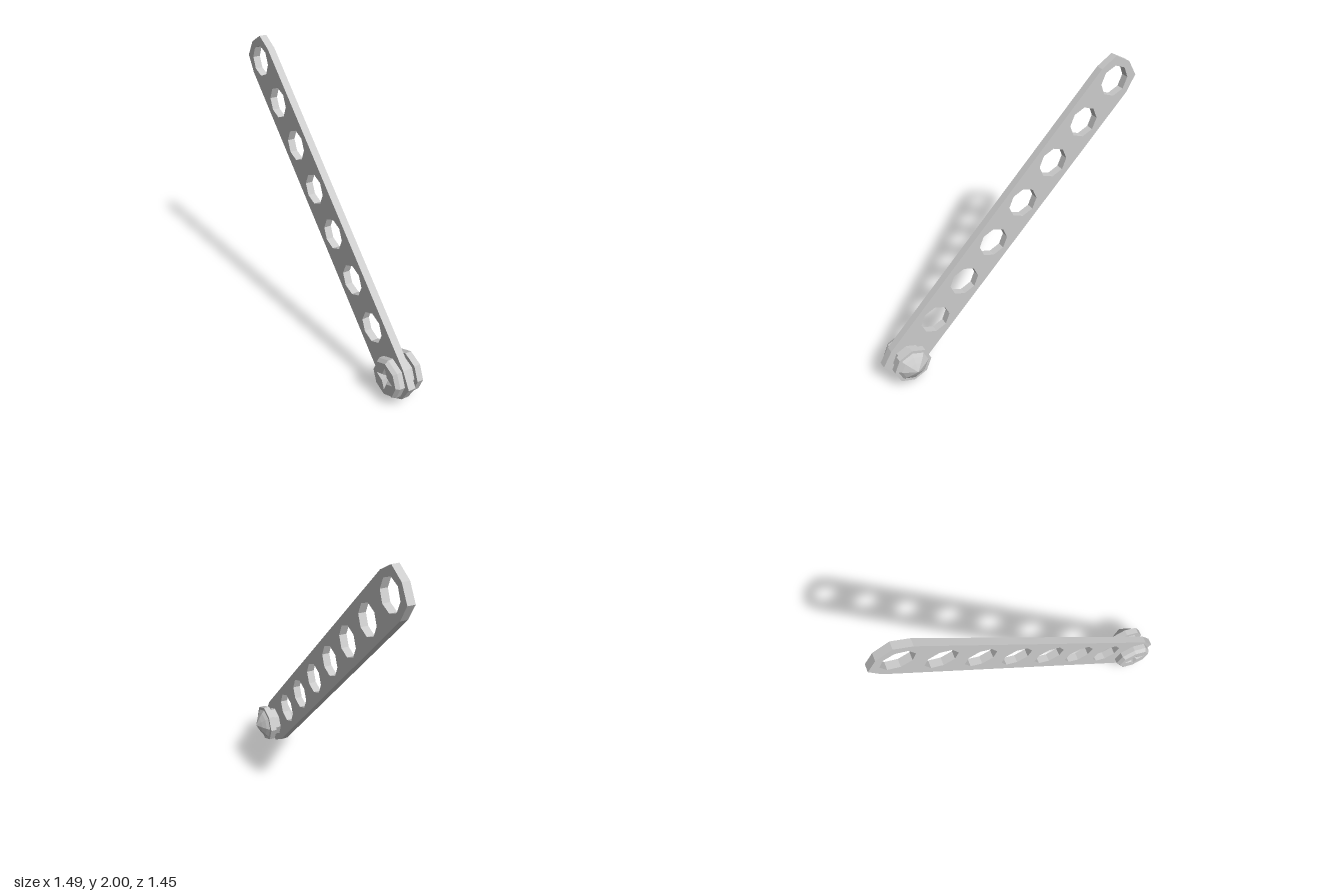
import * as THREE from 'three';

const MAT = new THREE.MeshStandardMaterial({ color: 0xcccccc, flatShading: true });
const PITCH = 0.235;            // hole spacing along each axis (bar runs at 45 degrees)
const MID_X = -0.019, MID_Y = 1;
const BOLT_X = MID_X + 3.5 * PITCH, BOLT_Y = MID_Y - 3.5 * PITCH;

function part(name, geometry) {
  const g = geometry.index ? geometry.toNonIndexed() : geometry;
  g.computeVertexNormals();
  const mesh = new THREE.Mesh(g, MAT);
  mesh.name = name;
  return mesh;
}

// Points of a ring; radii alternate through the given list
function ring(count, radii, cx = 0, cy = 0) {
  return Array.from({ length: count }, (_, i) => {
    const a = (i / count) * Math.PI * 2, r = radii[i % radii.length];
    return new THREE.Vector2(cx + r * Math.cos(a), cy + r * Math.sin(a));
  });
}

// Eight-sided turned part, axis along z
function turned(name, profile) {
  const g = new THREE.LatheGeometry(profile.map(([r, z]) => new THREE.Vector2(r, z)), 8);
  return part(name, g.rotateX(Math.PI / 2));
}

// Bar outline with faceted ends and eight octagonal holes
function bar() {
  const half = 3.5 * PITCH * Math.SQRT2, w = 0.158, c = 0.125;
  const outline = [
    [half, -w], [half + c, -c], [half + w, 0], [half + c, c], [half, w],
    [-half, w], [-half - c, c], [-half - w, 0], [-half - c, -c], [-half, -w],
  ].map(([x, y]) => new THREE.Vector2(x, y));
  const shape = new THREE.Shape(outline);
  for (let i = 0; i < 8; i++) {
    const x = (i - 3.5) * PITCH * Math.SQRT2;
    shape.holes.push(new THREE.Path(ring(8, [0.108], x, 0).reverse()));
  }
  const g = new THREE.ExtrudeGeometry(shape, { depth: 0.052, bevelEnabled: false });
  g.rotateZ(-Math.PI / 4).translate(MID_X, MID_Y, -0.015);
  return part('bar', g);
}

// Bolt head: bevelled octagon with a four-pointed star recess
function boltHead() {
  const head = new THREE.Group();
  head.name = 'boltHead';
  const face = 0.098, depth = 0.045;
  head.add(turned('headRim', [[0, 0.036], [0.137, 0.036], [0.137, 0.073], [0.119, face]]));
  const star = ring(8, [0.084, 0.036]);
  const shape = new THREE.Shape(ring(8, [0.119]));
  shape.holes.push(new THREE.Path(star.slice().reverse()));
  head.add(part('headFace', new THREE.ShapeGeometry(shape).translate(0, 0, face)));
  const pos = [];
  star.forEach((p, i) => {
    const q = star[(i + 1) % 8];
    pos.push(p.x, p.y, face, q.x, q.y, face, 0, 0, face - depth);
  });
  const recess = new THREE.BufferGeometry();
  recess.setAttribute('position', new THREE.Float32BufferAttribute(pos, 3));
  head.add(part('starRecess', recess));
  return head;
}

export function createModel() {
  const model = new THREE.Group();
  model.name = 'perforatedBarWithBolt';
  model.rotation.y = -Math.PI / 4;
  model.add(bar());

  // Bolt through the lowest hole, with a domed nut behind
  const bolt = new THREE.Group();
  bolt.name = 'bolt';
  bolt.position.set(BOLT_X, BOLT_Y, 0);
  bolt.add(boltHead());
  bolt.add(turned('shaft', [[0.104, -0.07], [0.104, 0.04]]));
  bolt.add(turned('domedNut', [
    [0, -0.178], [0.055, -0.149], [0.092, -0.126], [0.114, -0.107],
    [0.137, -0.107], [0.137, -0.063], [0, -0.063],
  ]));
  model.add(bolt);

  const root = new THREE.Group();
  root.name = 'model';
  root.add(model);
  return root;
}
